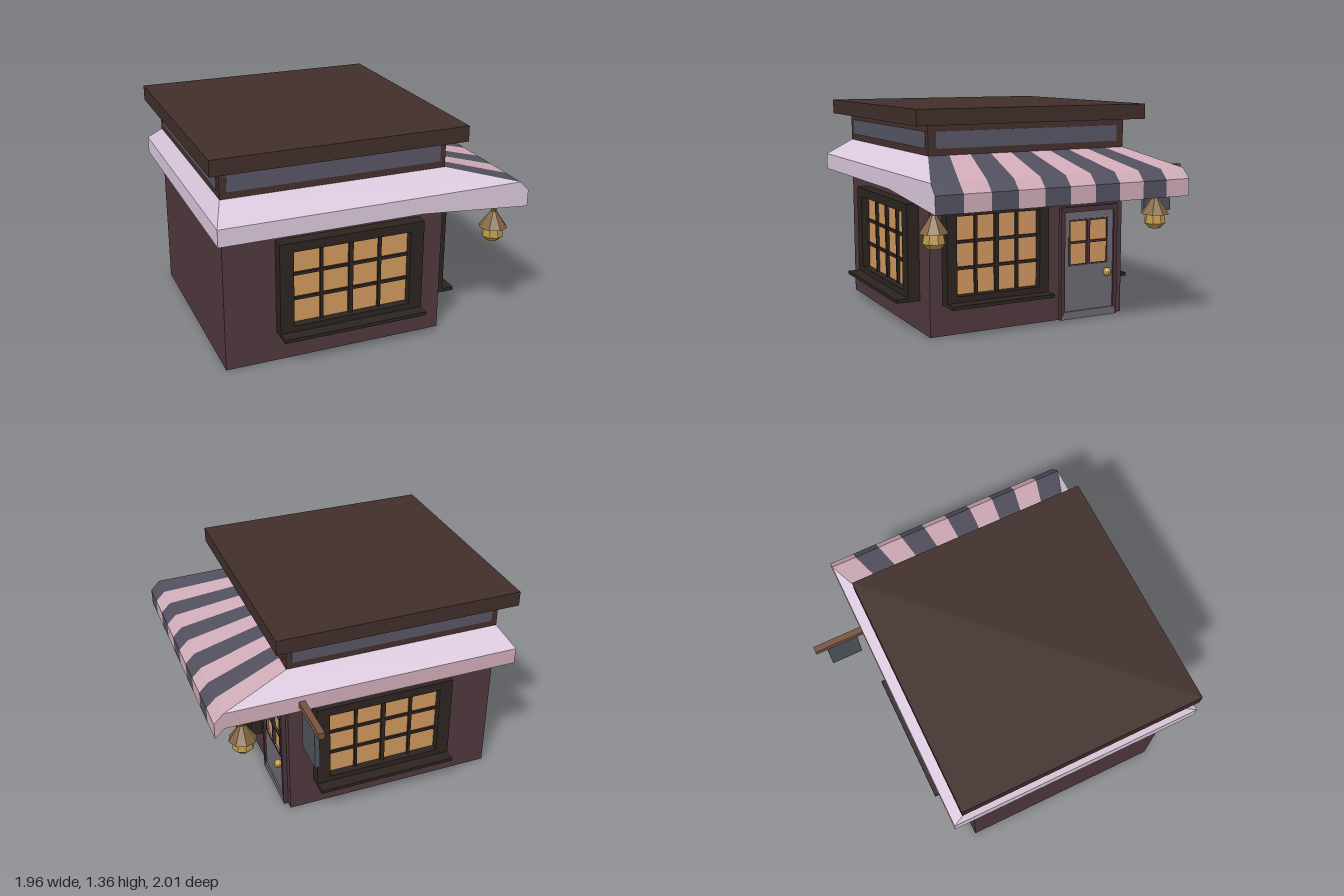
import * as THREE from 'three';

const mats = {};
const mat = (color) => (mats[color] ??= new THREE.MeshStandardMaterial({ color, flatShading: true, side: THREE.DoubleSide }));
const WALL = 0x50383e, BAND = 0x452f2d, CAP = 0x402e2a, SLATE = 0x565564, LILAC = 0xdac8dc, PINK = 0xd0acb8,
  STRIPE = 0x52505f, UNDER = 0x2c2222, FRAME = 0x2c241f, GLASS = 0xd0985f, DOOR = 0x6c6872, DOORFRAME = 0x47343a,
  WOOD = 0x77523f, BRASS = 0x80623e, AMBER = 0xb89648, SIGN = 0x4e545c;

function add(parent, name, geo, color, x = 0, y = 0, z = 0) {
  const mesh = new THREE.Mesh(geo, mat(color));
  mesh.name = name;
  mesh.position.set(x, y, z);
  parent.add(mesh);
  return mesh;
}

// Box given by its min and max corners
function box(parent, name, color, [x0, y0, z0], [x1, y1, z1]) {
  return add(parent, name, new THREE.BoxGeometry(x1 - x0, y1 - y0, z1 - z0), color,
    (x0 + x1) / 2, (y0 + y1) / 2, (z0 + z1) / 2);
}

// Flat-faced surface from a list of polygons, each cut into a fan
function faces(parent, name, color, polygons) {
  const pos = [];
  for (const p of polygons)
    for (let i = 1; i < p.length - 1; i++) pos.push(...p[0], ...p[i], ...p[i + 1]);
  const geo = new THREE.BufferGeometry();
  geo.setAttribute('position', new THREE.Float32BufferAttribute(pos, 3));
  geo.computeVertexNormals();
  return add(parent, name, geo, color);
}

const polygon = (pts) => new THREE.Shape(pts.map(([x, y]) => new THREE.Vector2(x, y)));
const rect = (x0, y0, x1, y1) => [[x0, y0], [x1, y0], [x1, y1], [x0, y1]];

// Rectangular panel with a rectangular opening
function framed(parent, name, color, outer, inner, depth, z = 0) {
  const shape = polygon(rect(...outer));
  shape.holes.push(polygon(rect(...inner)));
  return add(parent, name, new THREE.ExtrudeGeometry(shape, { depth, bevelEnabled: false }), color, 0, 0, z);
}

// Glass with bars; the middle upright is wider
function glazing(parent, color, [x0, y0, x1, y1], cols, rows, z, bar) {
  box(parent, 'glass', GLASS, [x0, y0, z - 0.01], [x1, y1, z]);
  for (let i = 1; i < cols; i++) {
    const x = x0 + ((x1 - x0) * i) / cols, h = (i * 2 === cols ? bar * 1.5 : bar) / 2;
    box(parent, 'uprightBar', color, [x - h, y0, z], [x + h, y1, z + 0.018]);
  }
  for (let j = 1; j < rows; j++) {
    const y = y0 + ((y1 - y0) * j) / rows;
    box(parent, 'crossBar', color, [x0, y - bar / 2, z], [x1, y + bar / 2, z + 0.014]);
  }
}

// Shop window facing +z, standing proud of the wall with a sill
function shopWindow(name, width, border) {
  const g = new THREE.Group(), w = width / 2;
  g.name = name;
  const opening = [-w + border, 0.25, w - border, 0.727];
  framed(g, 'windowFrame', FRAME, [-w, 0.19, w, 0.785], opening, 0.075);
  glazing(g, FRAME, opening, 4, 3, 0.025, 0.018);
  box(g, 'windowSill', FRAME, [-w, 0.19, 0], [w, 0.212, 0.15]);
  return g;
}

function shopDoor() {
  const g = new THREE.Group();
  g.name = 'door';
  const surround = polygon([[-0.207, 0], [-0.18, 0.05], [-0.18, 0.687], [0.18, 0.687], [0.18, 0.05],
    [0.207, 0], [0.207, 0.72], [-0.207, 0.72]]);
  add(g, 'doorFrame', new THREE.ExtrudeGeometry(surround, { depth: 0.03, bevelEnabled: false }), DOORFRAME);
  const step = polygon([[-0.207, 0], [0.207, 0], [0.18, 0.05], [-0.18, 0.05]]);
  add(g, 'threshold', new THREE.ExtrudeGeometry(step, { depth: 0.028, bevelEnabled: false }), DOOR);
  const pane = [-0.145, 0.345, 0.137, 0.635];
  framed(g, 'doorLeaf', DOOR, [-0.18, 0.05, 0.18, 0.687], pane, 0.018);
  framed(g, 'paneTrim', DOORFRAME, [-0.148, 0.342, 0.14, 0.638], [-0.137, 0.353, 0.129, 0.627], 0.004, 0.018);
  glazing(g, DOORFRAME, pane, 2, 2, 0.005, 0.014);
  add(g, 'doorKnob', new THREE.SphereGeometry(0.028, 10, 8), AMBER, 0.131, 0.283, 0.035);
  return g;
}

function lantern(x, z) {
  const g = new THREE.Group();
  g.name = 'lantern';
  add(g, 'lanternRod', new THREE.CylinderGeometry(0.015, 0.015, 0.12, 8), BRASS, 0, 0.83, 0);
  add(g, 'lanternHood', new THREE.CylinderGeometry(0.018, 0.088, 0.1, 8), BRASS, 0, 0.737, 0);
  add(g, 'lanternBody', new THREE.CylinderGeometry(0.056, 0.068, 0.06, 8).scale(1, -1, 1).rotateX(Math.PI), AMBER, 0, 0.66, 0);
  add(g, 'lanternBase', new THREE.CylinderGeometry(0.068, 0.036, 0.033, 8), AMBER, 0, 0.615, 0);
  g.position.set(x, 0, z);
  return g;
}

function awning() {
  const g = new THREE.Group();
  g.name = 'awning';
  const L = -0.9, R = 0.49, F = 0.82, B = -0.52;            // wall lines
  const oL = -0.965, oR = 0.92, tip = 0.98, oF = 0.985, oB = -0.675; // eave lines
  const top = 1.08, eave = 0.98, low = 0.875, foot = 0.85;

  // Fanned stripes over the door side: wall, eave, rounded lip, valance
  const rows = [[R, top, F, B], [oR, eave, oF, oB], [tip, 0.92, oF, oB], [tip, 0.815, oF, oB]];
  const at = ([x, y, z0, z1], t) => [x, y, z0 + (z1 - z0) * t];
  for (let i = 0; i < 10; i++) {
    const a = i / 10, b = (i + 1) / 10, strip = [];
    for (let r = 0; r < 3; r++)
      strip.push([at(rows[r], a), at(rows[r + 1], a), at(rows[r + 1], b), at(rows[r], b)]);
    faces(g, 'awningStripe', i % 2 ? PINK : STRIPE, strip);
  }

  // Plain slopes on the other three sides
  faces(g, 'plainSlopes', LILAC, [
    [[L, top, F], [oL, eave, oF], [oR, eave, oF], [R, top, F]],
    [[R, top, B], [oR, eave, oB], [oL, eave, oB], [L, top, B]],
    [[L, top, B], [oL, eave, oB], [oL, eave, oF], [L, top, F]],
  ]);
  const end = (z) => [[oL, eave, z], [oL, low, z], [oR, low, z], [tip, 0.815, z], [tip, 0.92, z], [oR, eave, z]];
  faces(g, 'frontValance', LILAC, [end(oF)]);
  faces(g, 'backValance', PINK, [end(oB).reverse()]);
  faces(g, 'sideValance', LILAC, [[[oL, eave, oB], [oL, low, oB], [oL, low, oF], [oL, eave, oF]]]);

  // Dark underside sloping back to the walls
  faces(g, 'awningUnderside', UNDER, [
    [[tip, 0.815, oB], [tip, 0.815, oF], [oR, low, oF], [oR, low, oB]],
    [[oR, low, oB], [oR, low, oF], [R, foot, F], [R, foot, B]],
    [[oL, low, oF], [L, foot, F], [R, foot, F], [oR, low, oF]],
    [[oL, low, oB], [oR, low, oB], [R, foot, B], [L, foot, B]],
    [[oL, low, oB], [L, foot, B], [L, foot, F], [oL, low, oF]],
  ]);
  return g;
}

export function createModel() {
  const model = new THREE.Group();
  model.name = 'cornerShop';

  // Building shell
  box(model, 'walls', WALL, [-0.9, 0, -0.52], [0.49, 1, 0.82]);
  box(model, 'upperBand', BAND, [-0.9, 1, -0.52], [0.49, 1.27, 0.82]);
  box(model, 'roofCap', CAP, [-0.98, 1.26, -0.625], [0.58, 1.355, 0.925]);

  // Slate strip set in the band on every side
  box(model, 'bandStripFrontBack', SLATE, [-0.86, 1.12, -0.524], [0.455, 1.22, 0.824]);
  box(model, 'bandStripSides', SLATE, [-0.904, 1.12, -0.47], [0.494, 1.22, 0.77]);

  model.add(awning());

  // Windows and door: part, position, turn
  const fittings = [
    [shopWindow('frontWindow', 0.915, 0.086), -0.127, 0.82, 0],
    [shopWindow('backWindow', 0.915, 0.086), -0.127, -0.52, Math.PI],
    [shopWindow('sideWindow', 0.68, 0.064), 0.49, 0.4, Math.PI / 2],
    [shopDoor(), 0.49, -0.263, Math.PI / 2],
  ];
  for (const [part, x, z, turn] of fittings) {
    part.position.set(x, 0, z);
    part.rotation.y = turn;
    model.add(part);
  }

  for (const z of [0.917, -0.565]) model.add(lantern(0.79, z));

  // Hanging sign on the back
  box(model, 'signArm', WOOD, [0.43, 0.905, -1], [0.47, 0.945, -0.52]);
  box(model, 'signBoard', SIGN, [0.435, 0.64, -0.925], [0.465, 0.905, -0.715]);
  return model;
}
